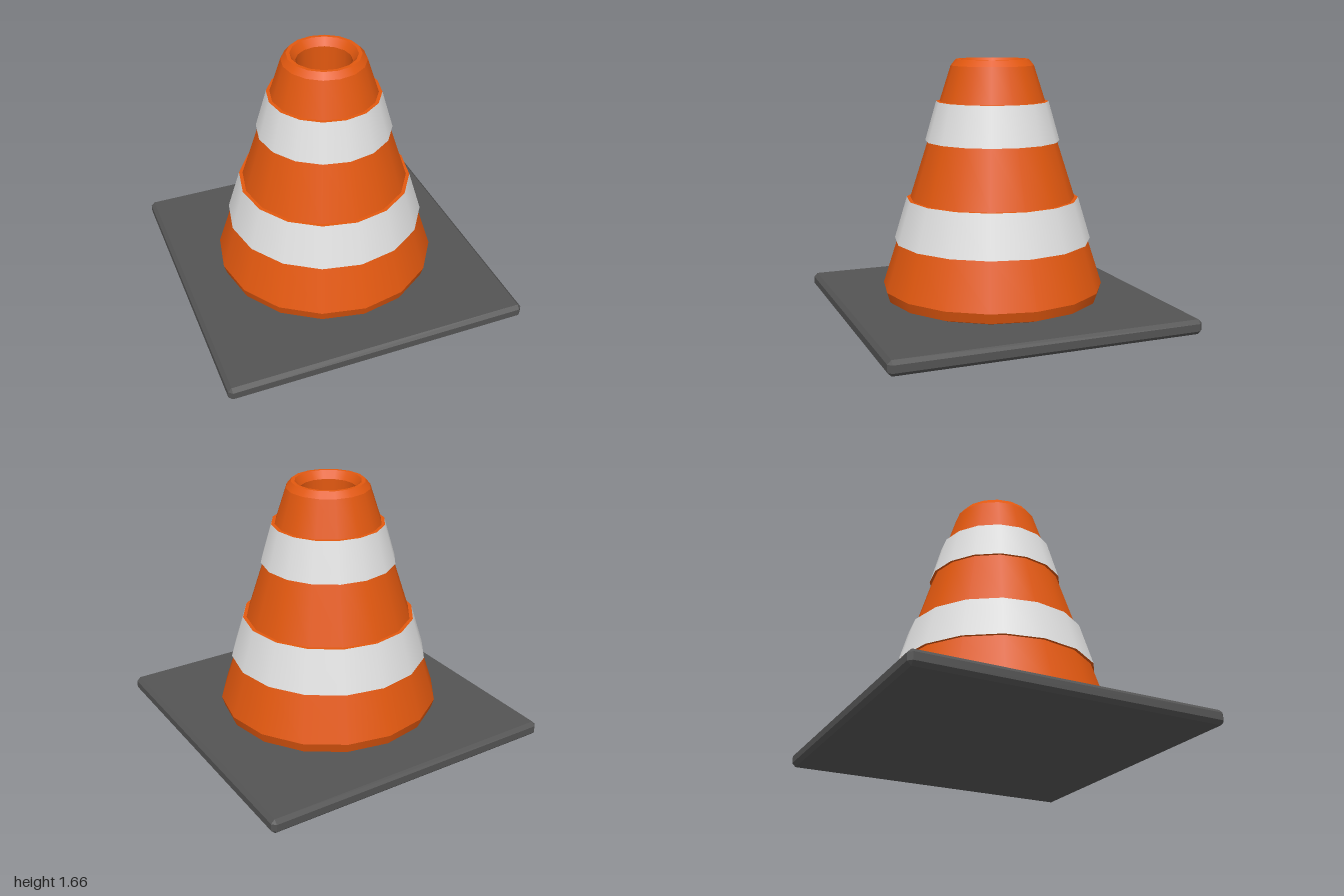
import * as THREE from 'three';
import { mergeGeometries } from 'three/addons/utils/BufferGeometryUtils.js';
import { ConvexGeometry } from 'three/addons/geometries/ConvexGeometry.js';

const SIDES = 16;

// One lathe per profile segment: smooth around, crisp between rings
function rings(profile) {
  const parts = [];
  for (let i = 0; i < profile.length - 1; i++) {
    const pair = [profile[i], profile[i + 1]].map(([r, y]) => new THREE.Vector2(r, y));
    parts.push(new THREE.LatheGeometry(pair, SIDES));
  }
  return mergeGeometries(parts);
}

// Box with every edge cut at 45 degrees
function chamferedBox(hx, hy, hz, c) {
  const points = [];
  for (const x of [-1, 1]) for (const y of [-1, 1]) for (const z of [-1, 1]) {
    points.push(
      new THREE.Vector3(x * hx, y * (hy - c), z * (hz - c)),
      new THREE.Vector3(x * (hx - c), y * hy, z * (hz - c)),
      new THREE.Vector3(x * (hx - c), y * (hy - c), z * hz)
    );
  }
  return new ConvexGeometry(points);
}

export function createModel() {
  const orange = new THREE.MeshStandardMaterial({ name: 'orange plastic', color: 0xe2580f });
  const white = new THREE.MeshStandardMaterial({ name: 'white stripe', color: 0xe0e0e0 });
  const grey = new THREE.MeshStandardMaterial({ name: 'grey rubber', color: 0x545454 });

  const model = new THREE.Group();
  model.name = 'trafficCone';
  const add = (name, geometry, material) => {
    const mesh = new THREE.Mesh(geometry, material);
    mesh.name = name;
    model.add(mesh);
    return mesh;
  };

  // Square foot plate
  add('basePlate', chamferedBox(1, 0.0475, 1, 0.024), grey).position.y = 0.0475;

  // Orange body sections, each with the ledges beside its stripes
  add('lowerBody', rings([[0.65, 0.095], [0.705, 0.115], [0.725, 0.18], [0.627, 0.485], [0.646, 0.485]]), orange);
  add('middleBody', rings([[0.563, 0.76], [0.54, 0.76], [0.42, 1.135], [0.437, 1.135]]), orange);

  // Top section with rounded lip and the open bore
  add('upperBody', rings([
    [0.364, 1.39], [0.342, 1.39], [0.268, 1.62], [0.235, 1.66],
    [0.212, 1.66], [0.177, 1.61], [0.177, 0.09]
  ]), orange);

  // Raised stripes
  add('lowerStripe', rings([[0.646, 0.485], [0.563, 0.76]]), white);
  add('upperStripe', rings([[0.437, 1.135], [0.364, 1.39]]), white);

  return model;
}
